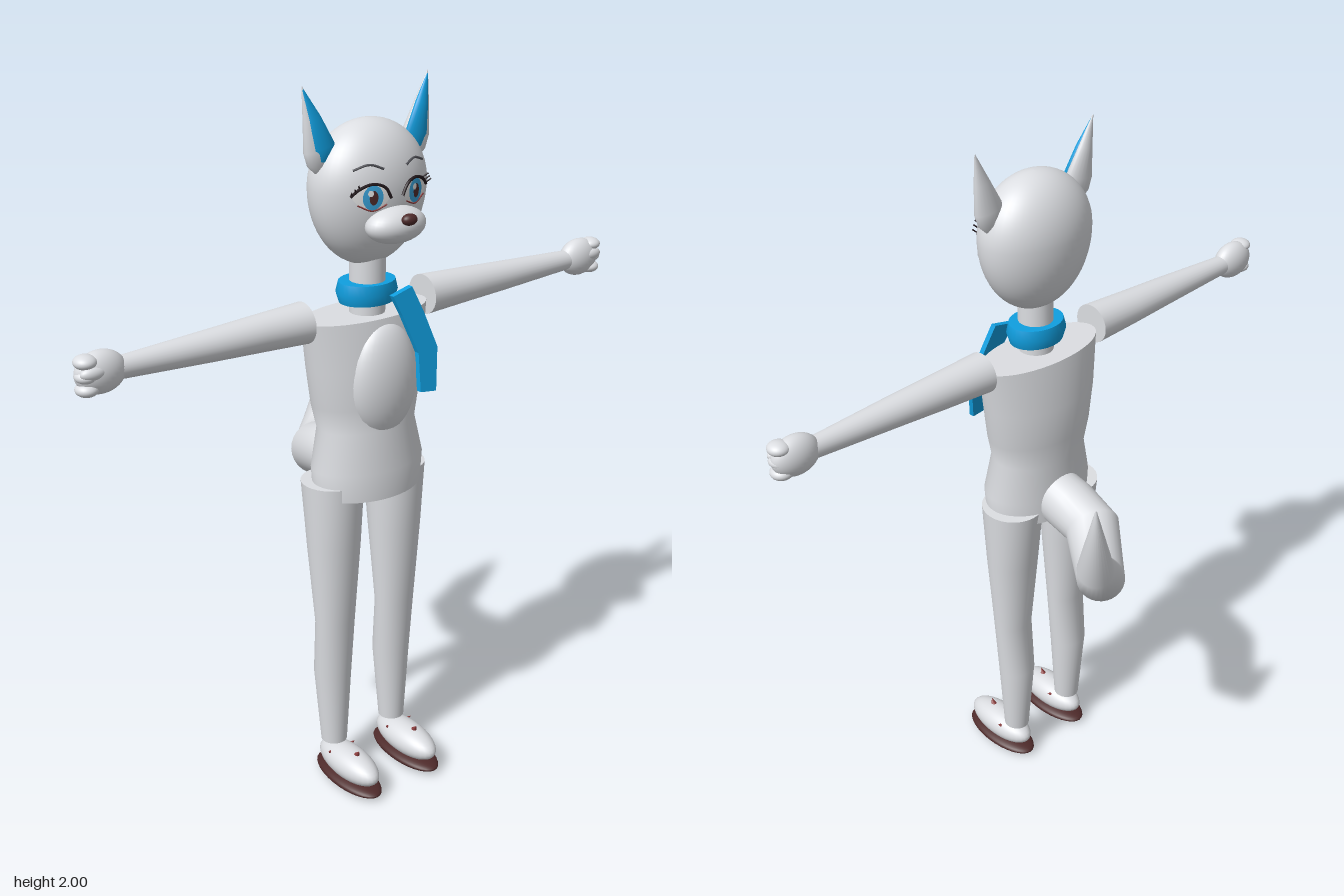
import * as THREE from 'three';
import { toCreasedNormals } from 'three/addons/utils/BufferGeometryUtils.js';

const paint = (name, color) => Object.assign(new THREE.MeshStandardMaterial({ color }), { name });
const fur = paint('pale grey fur', 0xdcdee2);
const blue = paint('blue cloth', 0x109fe0);
const sole = paint('dark brown sole', 0x4e2a2a);
const red = paint('red brown', 0x8a3a3a);
const white = paint('eye white', 0xf8f8f8);
const iris = paint('iris blue', 0x3aa4dc);
const black = paint('lash black', 0x241a1e);
const brow = paint('brow grey', 0x55565c);

const V = (x, y, z) => new THREE.Vector3(x, y, z);

// Skin over elliptical sections [x, y, z, radiusU, radiusV]; U follows ref, V is square to it
function loft(stations, ref, seg = 28) {
  const pos = [], idx = [], n = stations.length;
  const centres = stations.map(s => V(s[0], s[1], s[2]));
  const ring = i => {
    const t = centres[Math.min(i + 1, n - 1)].clone().sub(centres[Math.max(i - 1, 0)]).normalize();
    const u = ref.clone().addScaledVector(t, -ref.dot(t)).normalize();
    const v = t.clone().cross(u);
    for (let j = 0; j < seg; j++) {
      const a = j / seg * Math.PI * 2;
      const p = centres[i].clone()
        .addScaledVector(u, Math.cos(a) * stations[i][3])
        .addScaledVector(v, Math.sin(a) * stations[i][4]);
      pos.push(p.x, p.y, p.z);
    }
  };
  for (let i = 0; i < n; i++) ring(i);
  for (let i = 0; i < n - 1; i++) for (let j = 0; j < seg; j++) {
    const k = (j + 1) % seg, a = i * seg, b = a + seg;
    idx.push(a + j, a + k, b + k, a + j, b + k, b + j);
  }
  // separate rings for the end caps keep their rims sharp
  for (const end of [0, n - 1]) {
    const base = pos.length / 3;
    ring(end);
    pos.push(...centres[end].toArray());
    for (let j = 0; j < seg; j++) {
      const k = (j + 1) % seg;
      idx.push(base + seg, base + (end ? j : k), base + (end ? k : j));
    }
  }
  const g = new THREE.BufferGeometry();
  g.setAttribute('position', new THREE.Float32BufferAttribute(pos, 3));
  g.setIndex(idx);
  g.computeVertexNormals();
  return g;
}

const ball = (x, y, z, rx, ry, rz) =>
  new THREE.SphereGeometry(1, 32, 20).scale(rx, ry, rz).translate(x, y, z);

// Front of the egg-shaped head
const HEAD = { y: 1.74, z: 0.137, rx: 0.17, up: 0.165, down: 0.21, rz: 0.117 };
function faceZ(x, y) {
  const dy = (y - HEAD.y) / (y > HEAD.y ? HEAD.up : HEAD.down);
  return HEAD.z + HEAD.rz * Math.sqrt(Math.max(0, 1 - (x / HEAD.rx) ** 2 - dy * dy));
}

// Thin disc laid over the face; taper pinches it to an almond
function facePatch(x, y, rx, ry, lift, taper = 0) {
  const g = new THREE.RingGeometry(0, 1, 32, 5), p = g.attributes.position;
  for (let i = 0; i < p.count; i++) {
    const a = p.getX(i), px = x + a * rx, py = y + p.getY(i) * ry * (1 - taper * a * a);
    p.setXYZ(i, px, py, faceZ(px, py) + lift);
  }
  g.computeVertexNormals();
  return g;
}

// Thin line drawn over the face
function faceLine(points, r) {
  const curve = new THREE.CatmullRomCurve3(points.map(([x, y]) => V(x, y, faceZ(x, y) + 0.004)));
  return new THREE.TubeGeometry(curve, 16, r, 6);
}

export function createModel() {
  const model = new THREE.Group();
  model.name = 'foxFigure';
  const add = (name, geometry, material) => {
    const m = new THREE.Mesh(geometry, material);
    m.name = name;
    model.add(m);
    return m;
  };
  const X = V(1, 0, 0), Z = V(0, 0, 1);

  // Torso, belly and neck
  add('torso', loft([
    [0, 0.905, 0.145, 0.163, 0.115], [0, 0.98, 0.145, 0.17, 0.115],
    [0, 1.09, 0.138, 0.146, 0.105], [0, 1.16, 0.134, 0.163, 0.108],
    [0, 1.27, 0.131, 0.178, 0.11], [0, 1.4, 0.13, 0.197, 0.09],
  ], X, 40), fur);
  add('belly', ball(0, 1.23, 0.21, 0.106, 0.158, 0.06), fur);
  add('neck', new THREE.CylinderGeometry(0.048, 0.048, 0.18, 24).translate(0, 1.47, 0.14), fur);

  // Head, muzzle and nose
  const head = new THREE.SphereGeometry(1, 48, 32), hp = head.attributes.position;
  for (let i = 0; i < hp.count; i++) {
    const y = hp.getY(i);
    hp.setXYZ(i, hp.getX(i) * HEAD.rx, HEAD.y + y * (y > 0 ? HEAD.up : HEAD.down), HEAD.z + hp.getZ(i) * HEAD.rz);
  }
  head.computeVertexNormals();
  add('head', head, fur);
  add('muzzle', ball(0, 1.656, 0.253, 0.088, 0.047, 0.055), fur);
  add('nose', ball(0, 1.68, 0.307, 0.022, 0.015, 0.016), sole);

  // Neckerchief: collar band and hanging end
  const band = [[0.045, 1.43], [0.078, 1.43], [0.087, 1.458], [0.08, 1.486], [0.045, 1.486]];
  const collar = new THREE.LatheGeometry(band.map(p => new THREE.Vector2(...p)), 32);
  add('scarfCollar', toCreasedNormals(collar.scale(1, 1, 0.82).translate(0, 0, 0.138), 0.7), blue);
  const tie = new THREE.ExtrudeGeometry(new THREE.Shape([
    [0.02, 1.455], [0.085, 1.47], [0.115, 1.4], [0.15, 1.3], [0.132, 1.185], [0.08, 1.192], [0.085, 1.295], [0.045, 1.4],
  ].reverse().map(p => new THREE.Vector2(...p))), { depth: 0.016, bevelEnabled: false });
  const tp = tie.attributes.position;
  for (let i = 0; i < tp.count; i++) tp.setZ(i, tp.getZ(i) + 0.207 + (1.46 - tp.getY(i)) * 0.18);
  tie.computeVertexNormals();
  add('scarfEnd', tie, blue);

  for (const s of [-1, 1]) {
    const side = s > 0 ? 'left' : 'right';

    // Ear with blue inner leaf
    add(side + 'Ear', loft([
      [s * 0.152, 1.785, 0.137, 0.012, 0.008], [s * 0.153, 1.805, 0.137, 0.032, 0.018],
      [s * 0.153, 1.845, 0.137, 0.043, 0.024], [s * 0.174, 1.92, 0.135, 0.023, 0.015],
      [s * 0.196, 2, 0.13, 0.001, 0.001],
    ], X, 20), fur);
    add(side + 'InnerEar', loft([
      [s * 0.15, 1.815, 0.152, 0.012, 0.006], [s * 0.146, 1.85, 0.15, 0.034, 0.014],
      [s * 0.169, 1.92, 0.142, 0.02, 0.011], [s * 0.194, 1.992, 0.132, 0.002, 0.002],
    ], X, 20), blue);

    // Eye layers, lashes and brow
    const ex = s * 0.067, ey = 1.732;
    add(side + 'EyeWhite', facePatch(ex, ey, 0.047, 0.034, 0.002, 0.45), white);
    add(side + 'Iris', facePatch(ex, ey, 0.026, 0.031, 0.004), iris);
    add(side + 'Pupil', facePatch(ex, ey, 0.011, 0.018, 0.006), sole);
    add(side + 'EyeGlint', facePatch(ex - 0.009, ey + 0.012, 0.007, 0.008, 0.008), white);
    add(side + 'UpperLash', faceLine([[s * 0.018, 1.727], [s * 0.035, 1.755], [s * 0.067, 1.766],
      [s * 0.1, 1.755], [s * 0.12, 1.737]], 0.004), black);
    add(side + 'LowerLid', faceLine([[s * 0.03, 1.712], [s * 0.067, 1.699], [s * 0.105, 1.715]], 0.002), red);
    for (let i = 0; i < 3; i++) {
      const x = 0.098 + i * 0.008, y = 1.756 - i * 0.009, z = faceZ(x, y);
      add(side + 'Eyelash', new THREE.TubeGeometry(new THREE.LineCurve3(
        V(s * x, y, z), V(s * (x + 0.013), y + 0.013, z + 0.012)), 1, 0.002, 5), black);
    }
    add(side + 'Brow', faceLine([[s * 0.035, 1.8], [s * 0.07, 1.812], [s * 0.11, 1.8]], 0.003), brow);

    // Arm, hand and fingers
    add(side + 'Arm', loft([
      [s * 0.197, 1.404, 0.13, 0.057, 0.055], [s * 0.34, 1.404, 0.13, 0.05, 0.048],
      [s * 0.48, 1.404, 0.132, 0.043, 0.041], [s * 0.74, 1.404, 0.132, 0.026, 0.028],
    ], Z), fur);
    add(side + 'Hand', ball(s * 0.782, 1.406, 0.133, 0.067, 0.054, 0.038), fur);
    for (const y of [1.44, 1.405, 1.372])
      add(side + 'Finger', ball(s * 0.822, y, 0.138, 0.029, 0.018, 0.03), fur);
    add(side + 'Thumb', ball(s * 0.81, 1.415, 0.155, 0.035, 0.018, 0.018), fur);

    // Leg
    const lx = s * 0.106;
    add(side + 'Leg', loft([
      [lx, 0.11, 0.137, 0.037, 0.038], [lx, 0.34, 0.13, 0.055, 0.051],
      [lx, 0.51, 0.142, 0.06, 0.048], [lx, 0.75, 0.136, 0.077, 0.07],
      [lx, 0.94, 0.13, 0.086, 0.088],
    ], X), fur);

    // Shoe, sole and small spikes
    add(side + 'Shoe', ball(lx, 0.066, 0.21, 0.053, 0.046, 0.124), fur);
    add(side + 'Sole', ball(lx, 0.02, 0.209, 0.059, 0.02, 0.135), sole);
    for (const [dx, y, z] of [[0, 0.113, 0.25], [-0.037, 0.09, 0.17], [0.037, 0.09, 0.17]]) {
      const spike = add(side + 'ShoeSpike', new THREE.ConeGeometry(0.012, 0.026, 8), red);
      spike.position.set(lx + dx, y, z);
      spike.rotation.set(0.5, 0, -dx * 25);
    }
  }

  // Tail sweeping back, aside and up
  add('tail', loft([
    [0, 0.965, 0.08, 0.075, 0.08], [0, 0.95, 0, 0.077, 0.08],
    [0.005, 0.925, -0.09, 0.077, 0.076], [0.1, 0.87, -0.222, 0.066, 0.07],
    [0.172, 0.968, -0.275, 0.05, 0.058], [0.198, 1.18, -0.3, 0.002, 0.002],
  ], V(1, 0, 0.6)), fur);

  return model;
}
